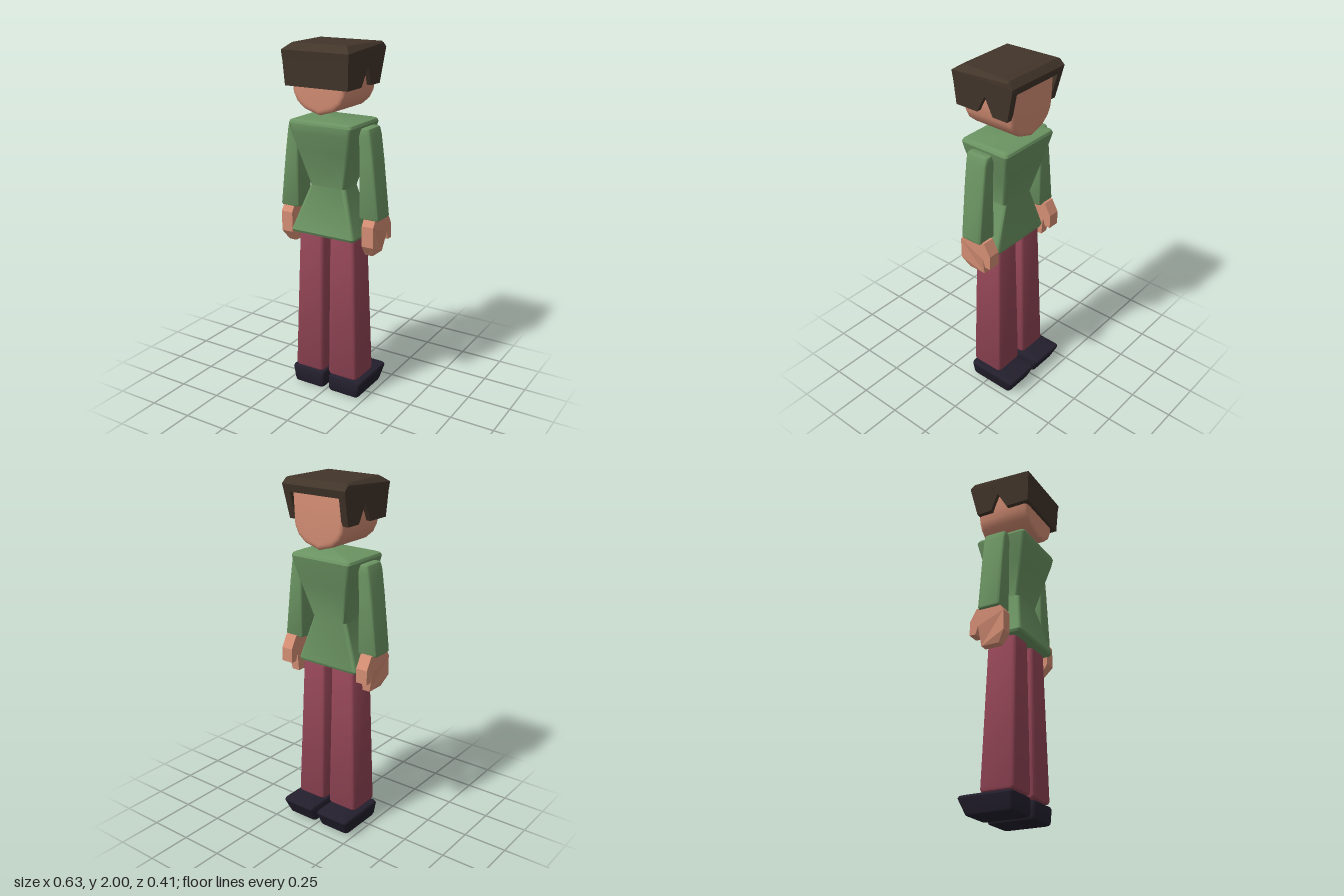
import * as THREE from 'three';
import { toCreasedNormals } from 'three/addons/utils/BufferGeometryUtils.js';
import { ConvexGeometry } from 'three/addons/geometries/ConvexGeometry.js';

const material = (color) => new THREE.MeshStandardMaterial({ color, roughness: 0.9 });

// Rounded rectangular block lofted through sections [y, x0, x1, z0, z1], bottom to top.
function loft(sections, bevel = 0.015, radius = 0.02) {
  const [first, last] = [sections[0], sections[sections.length - 1]];
  const inset = ([y, x0, x1, z0, z1], d) => [y, x0 + d, x1 - d, z0 + d, z1 - d];
  const lift = (s, d) => [s[0] + d, ...s.slice(1)];
  const rings = [inset(first, bevel), inset(lift(first, bevel * 0.3), bevel * 0.3), lift(first, bevel),
    ...sections.slice(1, -1),
    lift(last, -bevel), inset(lift(last, -bevel * 0.3), bevel * 0.3), inset(last, bevel)];
  const steps = 3, n = 4 * (steps + 1), pos = [], index = [];
  for (const [y, x0, x1, z0, z1] of rings) {
    for (let c = 0; c < 4; c++) {
      const right = c === 0 || c === 3, near = c < 2;
      for (let k = 0; k <= steps; k++) {
        const a = (c + k / steps) * Math.PI / 2;
        pos.push((right ? x1 - radius : x0 + radius) + radius * Math.cos(a), y,
          (near ? z1 - radius : z0 + radius) + radius * Math.sin(a));
      }
    }
  }
  for (let r = 0; r < rings.length - 1; r++) {
    for (let i = 0; i < n; i++) {
      const a = r * n + i, b = r * n + (i + 1) % n;
      index.push(a, a + n, b, b, a + n, b + n);
    }
  }
  const top = (rings.length - 1) * n;
  for (let i = 1; i < n - 1; i++) index.push(0, i, i + 1, top, top + i + 1, top + i);
  const g = new THREE.BufferGeometry();
  g.setAttribute('position', new THREE.Float32BufferAttribute(pos, 3));
  g.setIndex(index);
  return toCreasedNormals(g, 0.6);
}

// Slab with a [z, y] outline, spanning x0..x1 on side s; rule(x, y) reshapes the distance |x|.
function slab(outline, x0, x1, s, rule) {
  const shape = new THREE.Shape(outline.map(([z, y]) => new THREE.Vector2(-z, y)));
  const g = new THREE.ExtrudeGeometry(shape, { depth: x1 - x0, bevelEnabled: false });
  g.rotateY(Math.PI / 2).translate(s > 0 ? x0 : -x1, 0, 0);
  const p = g.attributes.position;
  for (let i = 0; i < p.count; i++) p.setX(i, s * rule(Math.abs(p.getX(i)), p.getY(i)));
  g.computeVertexNormals();
  return g;
}

export function createModel() {
  const model = new THREE.Group();
  const skin = material(0xd48e74), shirt = material(0x6c9563), trousers = material(0x934556);
  const shoe = material(0x231f2d), hair = material(0x42352a);
  const add = (name, geometry, mat) => {
    const mesh = new THREE.Mesh(geometry, mat);
    mesh.name = name;
    model.add(mesh);
  };

  // Torso: flared hem, narrow waist, broad shoulders
  add('torso', loft([
    [0.955, -0.2, 0.2, -0.08, 0.145],
    [1.23, -0.11, 0.11, -0.06, 0.085],
    [1.43, -0.16, 0.16, -0.11, 0.135],
    [1.53, -0.185, 0.185, -0.132, 0.16],
    [1.6, -0.195, 0.195, -0.142, 0.168],
  ], 0.02), shirt);

  for (const s of [1, -1]) {
    const side = s > 0 ? 'left' : 'right';
    const mirror = (rows) => rows.map(([y, a, b, z0, z1]) => [y, s > 0 ? a : -b, s > 0 ? b : -a, z0, z1]);

    // Leg and shoe, toes toward -z
    add(side + 'Leg', loft(mirror([
      [0.11, 0.018, 0.205, -0.09, 0.11],
      [0.965, 0.022, 0.175, -0.07, 0.1],
    ])), trousers);
    add(side + 'Shoe', loft(mirror([
      [0, 0.017, 0.215, -0.172, 0.11],
      [0.105, 0.015, 0.23, -0.206, 0.11],
    ])), shoe);

    // Sleeve with sloping shoulder
    add(side + 'Arm', loft(mirror([
      [1.08, 0.193, 0.313, -0.057, 0.077],
      [1.4, 0.192, 0.278, -0.057, 0.077],
      [1.53, 0.186, 0.26, -0.057, 0.077],
      [1.575, 0.197, 0.25, -0.057, 0.077],
    ]), 0.01, 0.015), shirt);

    // Mitten hand with thumb
    add(side + 'Hand', slab([
      [0.055, 0.875], [0.095, 0.935], [0.095, 1.05], [0.07, 1.09], [-0.07, 1.09],
      [-0.11, 1.02], [-0.11, 0.94], [-0.075, 0.94], [-0.06, 0.985], [-0.05, 0.875],
    ], 0.225, 0.295, s, (x, y) => (x > 0.26 && y < 0.9 ? 0.272 : x)), skin);

    // Side hair with a notch over the ear, narrowing downward
    add(side + 'SideHair', slab([
      [-0.183, 1.95], [-0.142, 1.78], [-0.05, 1.78], [-0.005, 1.88],
      [0.052, 1.78], [0.19, 1.78], [0.201, 1.95],
    ], 0.16, 0.2, s, (x, y) => x - (1.95 - y) * 0.06), hair);
  }

  // Head: jaw outline extruded front to back with rounded edges
  const jaw = [[0, 1.635], [0.09, 1.662], [0.135, 1.7], [0.158, 1.745], [0.168, 1.82], [0.172, 1.95]];
  const outline = [...jaw, ...jaw.slice(1).reverse().map(([x, y]) => [-x, y])];
  const head = new THREE.ExtrudeGeometry(
    new THREE.Shape(outline.map(([x, y]) => new THREE.Vector2(x, y))),
    { depth: 0.28, bevelThickness: 0.02, bevelSize: 0.025, bevelOffset: -0.025, bevelSegments: 3 });
  head.translate(0, 0, -0.13);
  add('head', toCreasedNormals(head, 0.6), skin);

  // Hair on the back of the head
  const hull = (points) => new ConvexGeometry(
    points.flatMap(([x, y, z]) => [new THREE.Vector3(x, y, z), new THREE.Vector3(-x, y, z)]));
  add('backHair', hull([
    [0.19, 1.78, 0.19], [0.19, 1.78, 0.155], [0.2, 1.95, 0.201], [0.2, 1.95, 0.155],
  ]), hair);

  // Bevelled crown with a short fringe
  add('crownHair', hull([
    [0.199, 1.925, -0.176], [0.199, 1.925, 0.2], [0.202, 1.965, -0.186], [0.202, 1.965, 0.204],
    [0.201, 1.99, -0.158], [0.165, 2, 0.155], [0.168, 2, -0.11], [0.19, 1.998, -0.155],
  ]), hair);

  return model;
}
